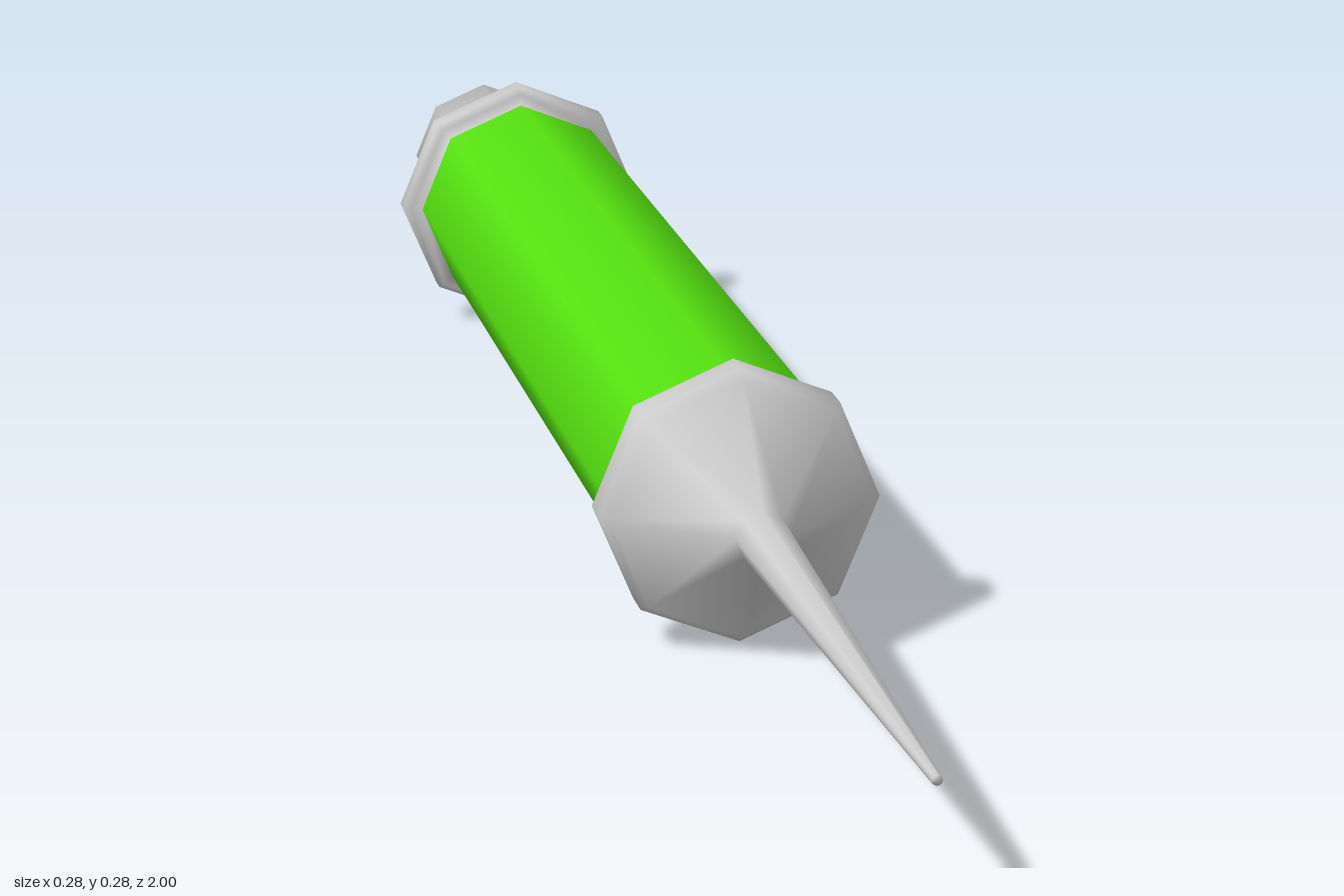
import * as THREE from 'three';

const SIDES = 8;
const AXIS_HEIGHT = 0.139;

// Profile along the axis, back to front: [z, radius]
const PROFILE = [
  [-1, 0], [-1, 0.083], [-0.935, 0.057], [-0.803, 0.116],          // plunger handle
  [-0.803, 0.13], [-0.795, 0.1375], [-0.773, 0.1375], [-0.765, 0.13], // rear collar
  [-0.765, 0.117], [0.272, 0.12],                                   // barrel
  [0.272, 0.131], [0.281, 0.1375], [0.313, 0.1375], [0.323, 0.129], // front collar
  [0.405, 0.026], [1, 0.005], [1, 0],                               // nozzle and needle
];

// Each part covers a run of profile points
const PARTS = [
  { name: 'plungerHandle', from: 0, to: 3 },
  { name: 'rearCollar', from: 3, to: 8 },
  { name: 'barrel', from: 8, to: 9, color: 0x55e010 },
  { name: 'frontCollar', from: 9, to: 13 },
  { name: 'nozzle', from: 13, to: 14 },
  { name: 'needle', from: 14, to: 16 },
];

// Takes a run of bands out of the lathe, keeping its continuous smooth normals
function bands(lathe, from, to) {
  const perSide = (PROFILE.length - 1) * 6;
  const index = [];
  for (let side = 0; side < SIDES; side++) {
    for (let k = from * 6; k < to * 6; k++) index.push(lathe.index.getX(side * perSide + k));
  }
  const geometry = lathe.clone();
  geometry.setIndex(index);
  return geometry.toNonIndexed();
}

export function createModel() {
  const group = new THREE.Group();
  group.name = 'syringe';

  // One smooth eight-sided body, turned so its axis runs along z
  const points = PROFILE.map(([z, r]) => new THREE.Vector2(r, z));
  const lathe = new THREE.LatheGeometry(points, SIDES);
  lathe.rotateX(Math.PI / 2);
  lathe.translate(0, AXIS_HEIGHT, 0);

  for (const { name, from, to, color = 0xcccccc } of PARTS) {
    const mesh = new THREE.Mesh(bands(lathe, from, to), new THREE.MeshStandardMaterial({ color }));
    mesh.name = name;
    group.add(mesh);
  }
  return group;
}
